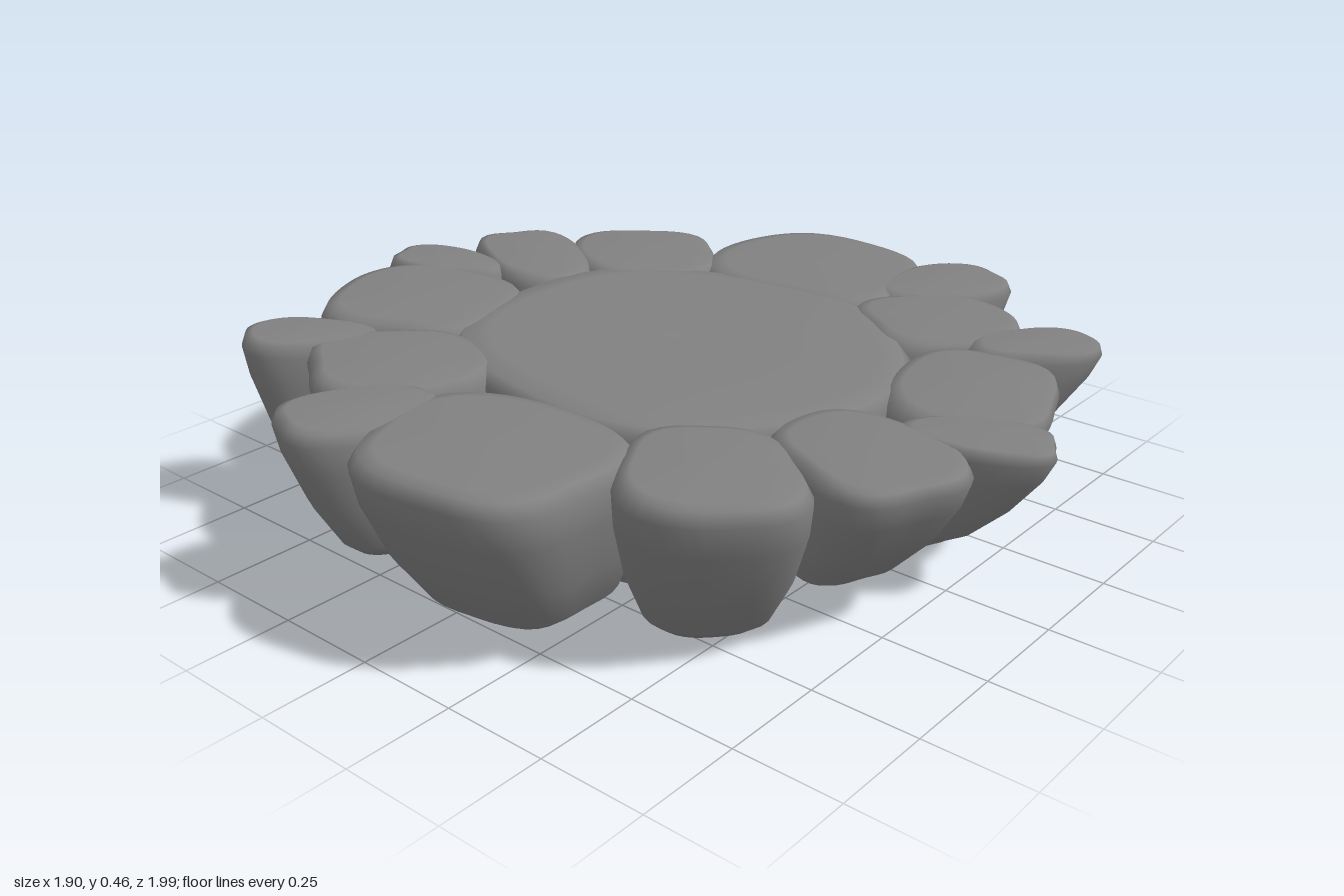
import * as THREE from 'three';

const material = new THREE.MeshStandardMaterial({ color: 0x808080 });
const SIDES = 40;

// The paved top is a gently tilted plane
const topHeight = (x, z) => 0.42 - 0.032 * x + 0.03 * z;

// Stone profile from the top middle to the underside: (outline scale, depth 0..1)
const pair = (scale, depth) => new THREE.Vector2(scale, depth);
const ROCK = [
  pair(0, 0), pair(0.8, 0.008), pair(0.92, 0.025), pair(1, 0.1), pair(0.985, 0.28),
  pair(0.88, 0.6), pair(0.7, 0.88), pair(0.54, 0.97), pair(0, 1),
];
const SLAB = [
  pair(0, 0.02), pair(0.85, 0.01), pair(0.97, 0.03), pair(1.02, 0.1),
  pair(1.02, 0.6), pair(0.98, 0.95), pair(0.85, 1), pair(0, 1),
];

// Rounded, slightly uneven plan outline: one axis points away from the middle.
// A positive flare makes the outer end pointed, a negative one makes it broad.
function planOutline({ x, z, long, wide, twist = 0, power, flare, phase }) {
  const heading = Math.atan2(-z, x) + twist;
  const c = Math.cos(heading);
  const s = Math.sin(heading);
  return Array.from({ length: SIDES }, (_, i) => {
    const t = (i / SIDES) * Math.PI * 2;
    const round = (Math.abs(Math.cos(t)) ** power + Math.abs(Math.sin(t)) ** power) ** (-1 / power);
    const r = round * (1 + flare * Math.cos(3 * t) + 0.02 * Math.sin(5 * t + phase));
    const u = long * r * Math.cos(t);
    const v = wide * r * Math.sin(t);
    return { x: u * c - v * s, z: -u * s - v * c };
  });
}

// Stacks scaled copies of the outline, sliding them towards the middle with depth
function stone(name, spec, profile) {
  const plan = planOutline(spec);
  const reach = Math.hypot(spec.x, spec.z);
  const positions = [];
  const index = [];
  const last = profile.length - 1;
  profile.forEach(({ x: scale, y: depth }, ring) => {
    const slide = 1 - (spec.lean / reach) * depth ** 1.3;
    for (let i = 0; i < SIDES; i++) {
      const dx = plan[i].x * scale;
      const dz = plan[i].z * scale;
      const top = topHeight(spec.x + dx, spec.z + dz);
      const y = THREE.MathUtils.lerp(top, spec.bottom - 0.03 * dx, depth);
      positions.push(spec.x * slide + dx, y, spec.z * slide + dz);
      if (ring === last) continue;
      const a = ring * SIDES + i;
      const d = ring * SIDES + (i + 1) % SIDES;
      if (ring < last - 1) index.push(a, a + SIDES, d + SIDES);
      else index.push(a, a + SIDES, d);
      if (ring > 0 && ring < last - 1) index.push(a, d + SIDES, d);
    }
  });
  const geometry = new THREE.BufferGeometry();
  geometry.setAttribute('position', new THREE.Float32BufferAttribute(positions, 3));
  geometry.setIndex(index);
  geometry.computeVertexNormals();
  const mesh = new THREE.Mesh(geometry, material);
  mesh.name = name;
  return mesh;
}

// Rim stones: name, x, z, half length outwards, half width, underside height, flare, twist
const LARGE_STONES = [
  ['backLargeStone', -0.1, -0.68, 0.27, 0.28, 0.055, 0.04],
  ['backLeftStone', 0.36, -0.56, 0.2, 0.185, 0.06, 0.03],
  ['leftRearStone', 0.65, -0.24, 0.19, 0.24, 0.01, 0],
  ['leftFrontStone', 0.67, 0.21, 0.21, 0.175, 0.075, -0.05],
  ['frontLeftStone', 0.49, 0.5, 0.21, 0.19, 0.005, -0.04],
  ['frontLargeStone', 0.11, 0.73, 0.25, 0.27, 0.035, 0.03],
  ['frontRightStone', -0.36, 0.57, 0.205, 0.195, 0.035, -0.05],
  ['rightLargeStone', -0.63, 0.25, 0.23, 0.24, 0.03, -0.02],
  ['rightRearStone', -0.68, -0.19, 0.21, 0.14, 0.06, -0.03, -0.22],
  ['backRightStone', -0.49, -0.42, 0.2, 0.2, 0.045, -0.02],
];
const SMALL_STONES = [
  ['backSmallStone', 0.22, -0.81, 0.2, 0.13, 0.09, -0.06],
  ['backLeftSmallStone', 0.62, -0.59, 0.17, 0.1, 0.1, -0.06, 0.19],
  ['leftSmallStone', 0.8, -0.02, 0.17, 0.1, 0.11, -0.06, 0.45],
  ['frontSmallStone', -0.21, 0.81, 0.18, 0.12, 0.11, -0.06],
  ['frontRightSmallStone', -0.62, 0.61, 0.16, 0.1, 0.1, -0.06],
  ['rightSmallStone', -0.8, 0.02, 0.155, 0.1, 0.1, -0.06, 0.3],
];

export function createModel() {
  const group = new THREE.Group();
  group.name = 'stonePlatform';

  // Broad slab in the middle
  group.add(stone('centreSlab', {
    x: 0.01, z: 0, long: 0.53, wide: 0.51, bottom: 0.025, lean: 0, power: 2.1, flare: 0, phase: 1,
  }, SLAB));

  // Ring of stones leaning outwards, squarer when large
  const addRing = (rows, power) => rows.forEach(([name, x, z, long, wide, bottom, flare, twist], i) => {
    const lean = 0.11 + 0.06 * x - 0.03 * z;
    const phase = i * 2.1;
    group.add(stone(name, { x, z, long, wide, bottom, flare, twist, lean, power, phase }, ROCK));
  });
  addRing(LARGE_STONES, 2.8);
  addRing(SMALL_STONES, 2.3);
  return group;
}
